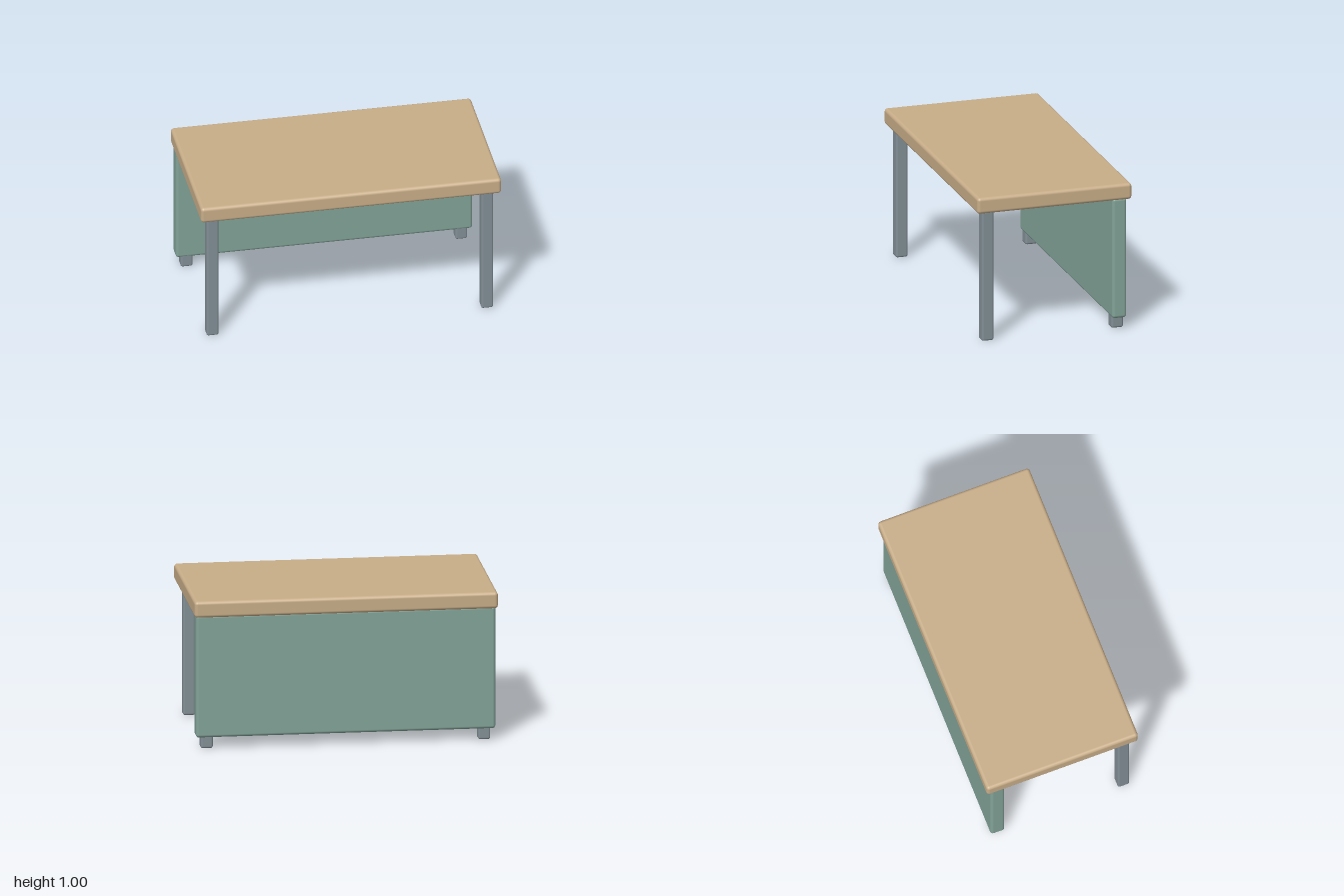
import * as THREE from 'three';
import { RoundedBoxGeometry } from 'three/addons/geometries/RoundedBoxGeometry.js';

const wood = new THREE.MeshStandardMaterial({ color: 0xc8ad88 });
wood.name = 'tan wood';
const green = new THREE.MeshStandardMaterial({ color: 0x82a398 });
green.name = 'sage green';
const metal = new THREE.MeshStandardMaterial({ color: 0x828f96 });
metal.name = 'grey metal';

// Rounded box placed by its centre
function roundedBox(name, material, size, centre, radius) {
  const mesh = new THREE.Mesh(new RoundedBoxGeometry(...size, 4, radius), material);
  mesh.name = name;
  mesh.position.set(...centre);
  return mesh;
}

export function createModel() {
  const desk = new THREE.Group();
  desk.name = 'desk';

  // Table top
  desk.add(roundedBox('tableTop', wood, [2, 0.11, 1.06], [0, 0.945, 0], 0.022));

  // Modesty panel across the back, in front of which the rear legs are hidden
  desk.add(roundedBox('backPanel', green, [1.974, 0.825, 0.098], [0, 0.4875, -0.449], 0.02));

  // Four square legs
  for (const [side, x] of [['Left', 0.914], ['Right', -0.914]]) {
    for (const [end, z] of [['front', 0.445], ['back', -0.444]]) {
      desk.add(roundedBox(`${end}${side}Leg`, metal, [0.08, 0.892, 0.081], [x, 0.446, z], 0.014));
    }
  }
  return desk;
}
